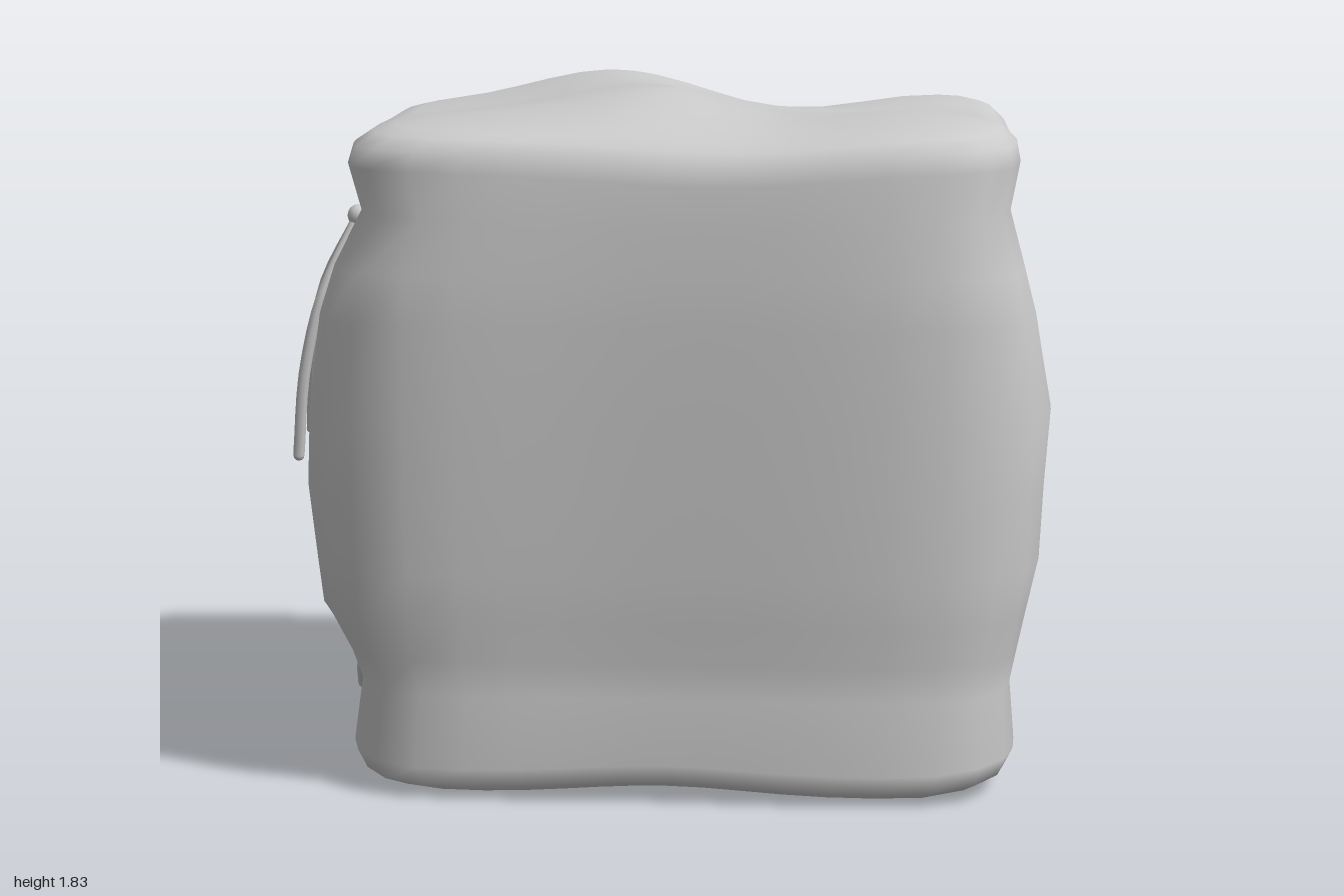
import * as THREE from 'three';

const SEGMENTS = 56;
const { smoothstep, lerp } = THREE.MathUtils;

// Sagging surface offsets: crest, bumps and dips on top, a shallow hollow below
const bump = (x, z, cx, cz, rx, rz) => Math.exp(-(((x - cx) / rx) ** 2) - ((z - cz) / rz) ** 2);
const topOffset = (x, z) =>
  0.087 * bump(x, z, -0.21, -0.42, 0.3, 0.33) +
  0.08 * bump(x, z, -0.07, 0.15, 0.28, 0.38) +
  0.025 * bump(x, z, -0.5, 0.3, 0.25, 0.25) +
  0.045 * bump(x, z, 0.62, 0.35, 0.25, 0.22) +
  0.025 * bump(x, z, 0.72, -0.45, 0.2, 0.2) -
  0.03 * bump(x, z, 0.3, -0.5, 0.2, 0.25) -
  0.045 * bump(x, z, 0.05, 0.68, 0.4, 0.14);
const bottomOffset = (x, z) =>
  0.025 * bump(x, z, 0, 0, 0.3, 5) + 0.015 * bump(x, z, 0, 0, 5, 0.3) - 0.015 +
  0.02 * smoothstep(Math.abs(x), 0.65, 0.9);

// Body sections: height, x min, x max, z min, z max
const SECTIONS = [
  [0.03, -0.76, 0.86, -0.62, 0.6],
  [0.05, -0.82, 0.89, -0.66, 0.64],
  [0.1, -0.845, 0.915, -0.677, 0.66],
  [0.28, -0.82, 0.9, -0.657, 0.642],
  [0.37, -0.85, 0.92, -0.662, 0.647],
  [0.48, -0.93, 0.945, -0.67, 0.66],
  [0.6, -0.945, 0.975, -0.68, 0.67],
  [0.8, -0.97, 0.985, -0.69, 0.68],
  [1.0, -0.96, 1.0, -0.7, 0.69],
  [1.25, -0.925, 0.955, -0.69, 0.7],
  [1.38, -0.875, 0.92, -0.675, 0.7],
  [1.52, -0.8, 0.88, -0.66, 0.695],
  [1.64, -0.835, 0.905, -0.675, 0.69],
  [1.69, -0.82, 0.895, -0.67, 0.68],
  [1.72, -0.77, 0.86, -0.64, 0.65],
];

// Corner sharpness at mid height, differing at each upright edge
const sharpness = (c, s) => (c < 0 ? (s < 0 ? 7 : 9) : s < 0 ? 11 : 7.5);

function bodyGeometry() {
  // Shrunken copies of the end sections close the top and bottom
  const caps = [0, 0.2, 0.4, 0.6, 0.8, 0.93];
  const last = SECTIONS[SECTIONS.length - 1];
  const rings = [
    ...caps.map((scale) => ({ row: SECTIONS[0], scale, lift: scale > 0.9 ? -0.01 : -0.015 })),
    ...SECTIONS.map((row) => ({ row, scale: 1, lift: 0 })),
    ...caps.reverse().map((scale) => ({ row: last, scale, lift: scale > 0.9 ? 0.01 : 0.015 })),
  ];
  const positions = [];
  const indices = [];
  rings.forEach(({ row: [height, xMin, xMax, zMin, zMax], scale, lift }, i) => {
    const middle = smoothstep(height, 0.2, 0.6) * (1 - smoothstep(height, 1.2, 1.6));
    for (let j = 0; j < SEGMENTS; j++) {
      const angle = (j / SEGMENTS) * Math.PI * 2;
      const c = Math.cos(angle);
      const s = Math.sin(angle);
      const n = lerp(6.5, sharpness(c, s), middle);
      const r = scale / (Math.abs(c) ** n + Math.abs(s) ** n) ** (1 / n);
      // The side bulge fades out towards the upright corners
      const reach = c < 0 ? -xMin : xMax;
      const base = Math.min(reach, c < 0 ? 0.84 : 0.9);
      const across = base + (reach - base) * (1 - Math.min(1, Math.abs(r * s)) ** 4);
      const x = r * c * across;
      // The bundle is slightly thinner towards -x
      const z = r * s * (s < 0 ? -zMin : zMax) * (0.96 + 0.04 * smoothstep(x, -0.3, 0.5));
      const y = height + lift +
        smoothstep(height, 1.35, 1.72) * topOffset(x, z) +
        (1 - smoothstep(height, 0.04, 0.3)) * bottomOffset(x, z);
      positions.push(x, Math.max(0, y), z);
      if (i < rings.length - 1) {
        const a = i * SEGMENTS + j;
        const b = i * SEGMENTS + ((j + 1) % SEGMENTS);
        indices.push(a, a + SEGMENTS, b, b, a + SEGMENTS, b + SEGMENTS);
      }
    }
  });
  const geometry = new THREE.BufferGeometry();
  geometry.setAttribute('position', new THREE.Float32BufferAttribute(positions, 3));
  geometry.setIndex(indices);
  geometry.computeVertexNormals();
  return geometry;
}

export function createModel() {
  const model = new THREE.Group();
  const material = new THREE.MeshStandardMaterial({ color: 0xcccccc });
  const add = (name, geometry, parent = model) => {
    const mesh = new THREE.Mesh(geometry, material);
    mesh.name = name;
    parent.add(mesh);
    return mesh;
  };

  add('clothBundle', bodyGeometry());

  // Cord ties: a small knot with two loose ends
  const addTie = (name, knot, ends) => {
    const tie = new THREE.Group();
    tie.name = name;
    add('knot', new THREE.SphereGeometry(0.03, 10, 8), tie).position.set(...knot);
    for (const points of ends) {
      const path = [knot, ...points].map((p) => new THREE.Vector3(...p));
      const curve = new THREE.CatmullRomCurve3(path);
      add('cordEnd', new THREE.TubeGeometry(curve, 12, 0.015, 8), tie);
      const tip = add('cordTip', new THREE.SphereGeometry(0.015, 8, 6), tie);
      tip.position.copy(path[path.length - 1]);
    }
    model.add(tie);
  };
  addTie('upperTie', [-0.81, 1.5, 0.36], [
    [[-0.92, 1.3, 0.26], [-0.965, 1.1, 0.17], [-0.985, 0.89, 0.1]],
    [[-0.9, 1.3, 0.42], [-0.95, 1.1, 0.42], [-0.975, 0.87, 0.39]],
  ]);
  addTie('lowerTie', [-0.83, 0.3, 0.19], [
    [[-0.86, 0.26, 0.04], [-0.875, 0.23, -0.11]],
    [[-0.865, 0.22, 0.05], [-0.885, 0.13, -0.1]],
  ]);

  return model;
}
